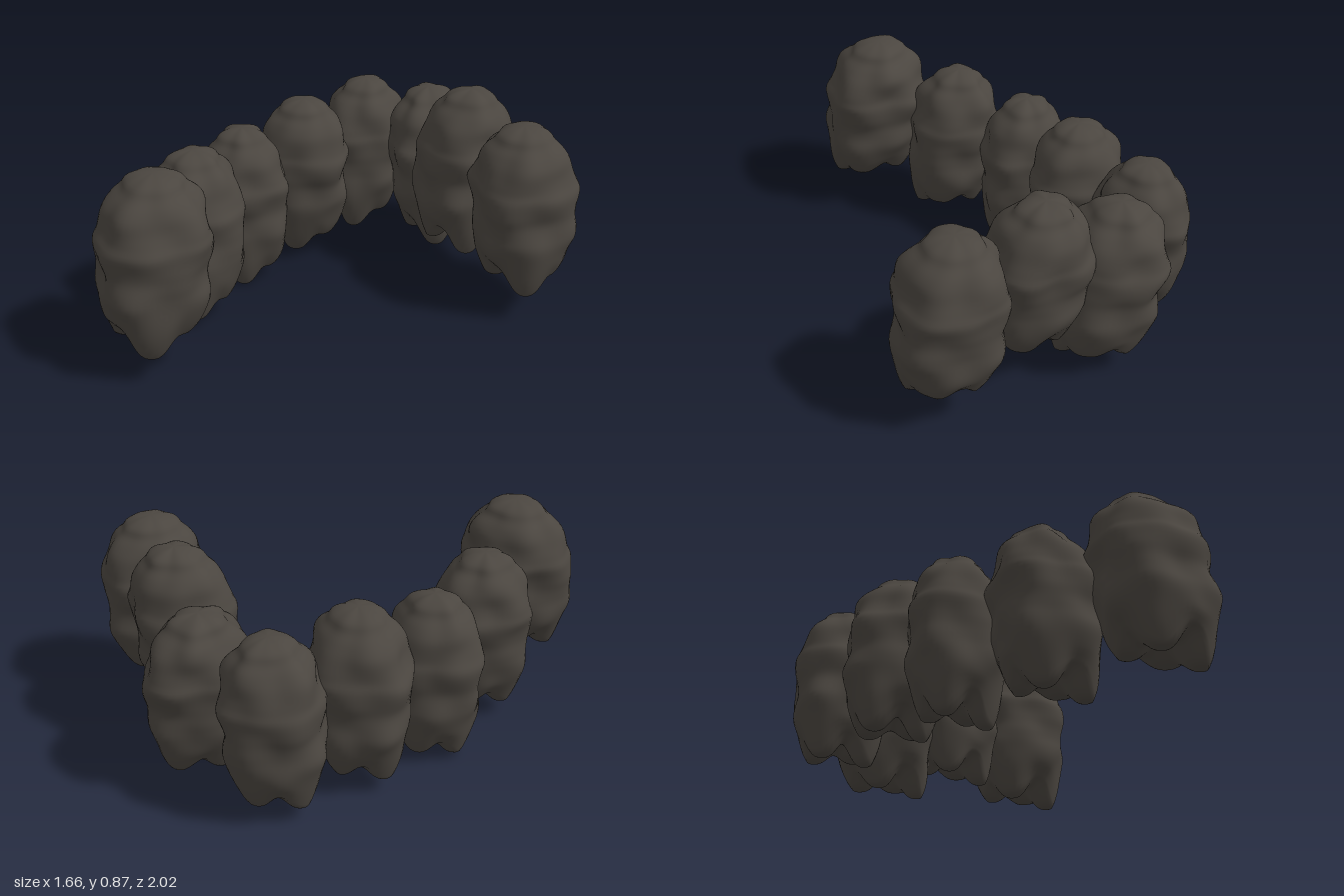
import * as THREE from 'three';

const SEG = 56;

// Side outline of one molar, from crown to neck: radius, height
const OUTLINE = new THREE.SplineCurve([
  [0.02, 0.72], [0.06, 0.713], [0.1, 0.693], [0.122, 0.662], [0.155, 0.63], [0.18, 0.59],
  [0.192, 0.54], [0.203, 0.5], [0.218, 0.46], [0.211, 0.4], [0.203, 0.35], [0.206, 0.3],
  [0.209, 0.25], [0.199, 0.2], [0.18, 0.155], [0.148, 0.12],
].map(([r, y]) => new THREE.Vector2(r, y)));

// Blunt roots of uneven length: x, z, length
const ROOTS = [[0.06, 0.11, 0.12], [-0.11, 0.02, 0.105], [-0.02, -0.12, 0.075], [0.13, -0.02, 0.055]];

// One lumpy molar made of rings, with its underside pulled down into roots;
// leanX and leanZ shift the crown sideways
function molarGeometry(seed, leanX, leanZ) {
  const rings = OUTLINE.getPoints(48).map((p) => [p.x, p.y]);
  for (let i = 1; i <= 14; i++) rings.push([0.148 * (1 - i / 14.5), 0.12]);

  const pos = [];
  const addPoint = (r0, y0, a) => {
    const crown = THREE.MathUtils.smoothstep(y0, 0.5, 0.64);
    const body = THREE.MathUtils.smoothstep(y0, 0.12, 0.28) * (1 - crown);
    const lumps = 0.022 * Math.sin(3 * a + 15 * y0 + seed * 1.7)
      + 0.022 * Math.sin(5 * a - 22 * y0 + seed * 2.3)
      + 0.014 * Math.sin(2 * a + 38 * y0 + seed)
      + 0.016 * Math.sin(8 * a + 12 * y0 - seed)
      + 0.04 * crown * Math.sin(5 * a + seed);
    const r = r0 * (1 + 0.055 * body * Math.cos(4 * a) + lumps);
    const x = r * Math.cos(a), z = r * Math.sin(a);
    let y = y0 + 0.25 * r0 * crown * lumps;
    const low = 1 - THREE.MathUtils.smoothstep(y0, 0.12, 0.26);
    for (const [rx, rz, len] of ROOTS) {
      const d2 = (x - rx) ** 2 + (z - rz) ** 2;
      y -= low * len * Math.exp(-((d2 / 0.0062) ** 1.6));
    }
    pos.push(x + leanX * (y - 0.36), y, z + leanZ * (y - 0.36));
  };
  for (const [r, y] of rings) {
    for (let j = 0; j < SEG; j++) addPoint(r, y, (j / SEG) * Math.PI * 2);
  }
  const top = rings.length * SEG, bottom = top + 1, last = (rings.length - 1) * SEG;
  addPoint(0, 0.721, 0);
  addPoint(0, 0.12, 0);

  const index = [];
  for (let j = 0; j < SEG; j++) {
    const k = (j + 1) % SEG;
    index.push(top, k, j, last + j, last + k, bottom);
    for (let i = 0; i < rings.length - 1; i++) {
      const u = i * SEG, v = u + SEG;
      index.push(u + j, u + k, v + k, u + j, v + k, v + j);
    }
  }
  const geometry = new THREE.BufferGeometry();
  geometry.setAttribute('position', new THREE.Float32BufferAttribute(pos, 3));
  geometry.setIndex(index);
  geometry.computeVertexNormals();
  return geometry;
}

// Molars along the arch: x, base y, z, turn, width in x, width in z, crown lean in x and z
const ARCH = [
  [-0.485, 0.13, 0.755, 0.15, 1.1, 1.07, 0.02, -0.11],
  [-0.577, 0.05, 0.36, 0.05, 0.95, 1.0, -0.03, -0.06],
  [-0.602, 0.01, -0.015, 0.0, 0.96, 0.9, 0, -0.02],
  [-0.505, 0.05, -0.355, -0.2, 1.03, 0.97, 0.04, 0],
  [-0.397, 0.045, -0.72, -0.15, 0.92, 0.98, 0.03, -0.04],
  [-0.035, 0.05, -0.76, 0.05, 0.93, 1.06, -0.12, -0.06],
  [0.225, 0.16, -0.575, 0.25, 1.02, 0.98, 0.03, -0.1],
  [0.585, 0.13, -0.42, 0.08, 1.04, 1.06, -0.05, -0.03],
];

export function createModel() {
  const group = new THREE.Group();
  group.name = 'molarArch';
  const enamel = new THREE.MeshStandardMaterial({ color: 0x4b4640 });
  enamel.name = 'dark umber';
  ARCH.forEach(([x, y, z, turn, wx, wz, leanX, leanZ], i) => {
    const molar = new THREE.Mesh(molarGeometry(i * 1.3, leanX, leanZ), enamel);
    molar.name = `molar${i + 1}`;
    molar.position.set(x, y, z);
    molar.rotation.y = turn;
    molar.scale.set(wx, 1, wz);
    group.add(molar);
  });
  return group;
}
